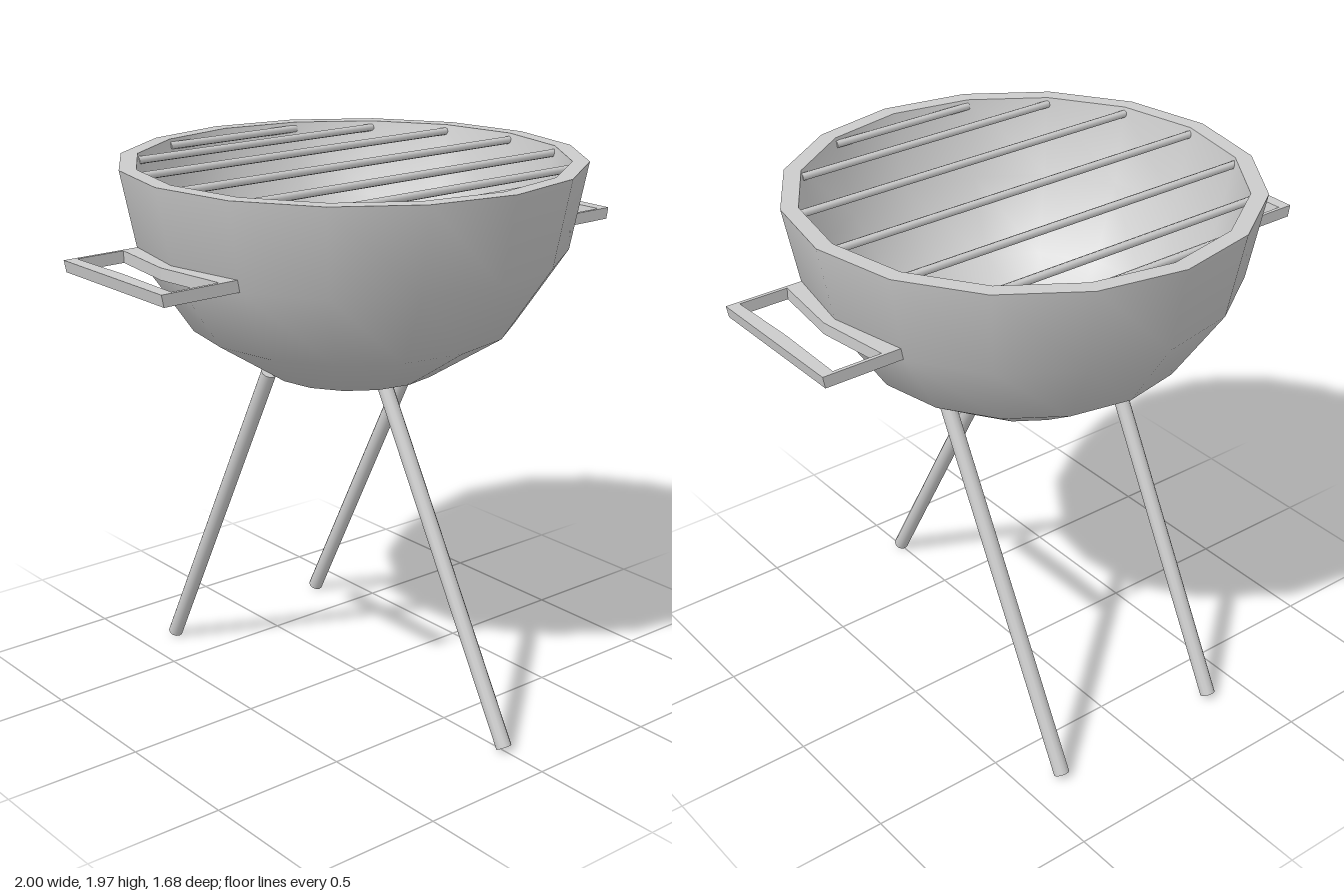
import * as THREE from 'three';

const CZ = -0.02; // bowl axis
const SIDES = 16;

export function createModel() {
  const model = new THREE.Group();
  model.name = 'barbecueGrill';
  const grey = new THREE.MeshStandardMaterial({ color: 0xcccccc });

  const add = (geometry, name, parent = model) => {
    const mesh = new THREE.Mesh(geometry, grey);
    mesh.name = name;
    parent.add(mesh);
    return mesh;
  };

  // Round rod between two points
  const rod = (a, b, radius, sides, name, parent) => {
    const from = new THREE.Vector3(...a), to = new THREE.Vector3(...b);
    const dir = to.clone().sub(from);
    const mesh = add(new THREE.CylinderGeometry(radius, radius, dir.length(), sides), name, parent);
    mesh.position.copy(from).add(to).multiplyScalar(0.5);
    mesh.quaternion.setFromUnitVectors(new THREE.Vector3(0, 1, 0), dir.normalize());
    return mesh;
  };

  // Bowl: separate lathes keep the rim and floor edges sharp
  const bowl = new THREE.Group();
  bowl.name = 'bowl';
  bowl.position.z = CZ;
  model.add(bowl);
  const lathe = (profile, name) =>
    add(new THREE.LatheGeometry(profile.map(([r, y]) => new THREE.Vector2(r, y)), SIDES), name, bowl);
  lathe([[0, 1.155], [0.31, 1.215], [0.58, 1.39], [0.76, 1.66], [0.82, 1.97]], 'bowlOuter');
  lathe([[0.82, 1.97], [0.76, 1.97]], 'bowlRim');
  lathe([[0.76, 1.97], [0.70, 1.69], [0.54, 1.44], [0.29, 1.275], [0.23, 1.25]], 'bowlInner');
  lathe([[0.23, 1.25], [0, 1.25]], 'bowlFloor');

  // Grate: bars joining opposite corners of the inner wall
  const grate = new THREE.Group();
  grate.name = 'grate';
  model.add(grate);
  for (let i = 1; i < SIDES / 2; i++) {
    const angle = (i * 2 * Math.PI) / SIDES;
    const x = 0.76 * Math.sin(angle);
    const z = CZ + 0.76 * Math.cos(angle);
    rod([-x, 1.945, z], [x, 1.945, z], 0.014, 8, 'grateBar', grate);
  }

  // Handles: thin frames whose inner edge follows the bowl
  const makeHandle = () => {
    const w = 0.29, inner = 0.277;
    const polygon = (points) => points.map(([x, y]) => new THREE.Vector2(x, y));
    const shape = new THREE.Shape(polygon([[0.70, -w], [1, -w], [1, w], [0.70, w], [0.75, 0]]));
    shape.holes.push(new THREE.Path(polygon([
      [0.775, -inner], [0.81, 0], [0.775, inner], [0.955, inner], [0.948, 0], [0.955, -inner],
    ])));
    const geometry = new THREE.ExtrudeGeometry(shape, { depth: 0.042, bevelEnabled: false });
    geometry.rotateX(-Math.PI / 2);
    // Slant the outer end slightly inward at the bottom
    const p = geometry.attributes.position;
    for (let i = 0; i < p.count; i++) {
      if (p.getX(i) > 0.9 && p.getY(i) < 0.02) p.setX(i, p.getX(i) - 0.008);
    }
    geometry.computeVertexNormals();
    return geometry;
  };
  const handleGeometry = makeHandle();
  for (const side of [1, -1]) {
    const handle = add(handleGeometry, side > 0 ? 'leftHandle' : 'rightHandle');
    handle.position.set(0, 1.662, CZ);
    handle.rotation.y = side > 0 ? 0 : Math.PI;
  }

  // Tripod legs
  rod([0, 0.014, 0.812], [0, 1.225, 0.135], 0.028, 12, 'frontLeg');
  for (const side of [1, -1]) {
    rod([side * 0.355, 0.014, -0.70], [side * 0.355, 1.25, -0.05], 0.028, 12, side > 0 ? 'backLeftLeg' : 'backRightLeg');
  }

  return model;
}
